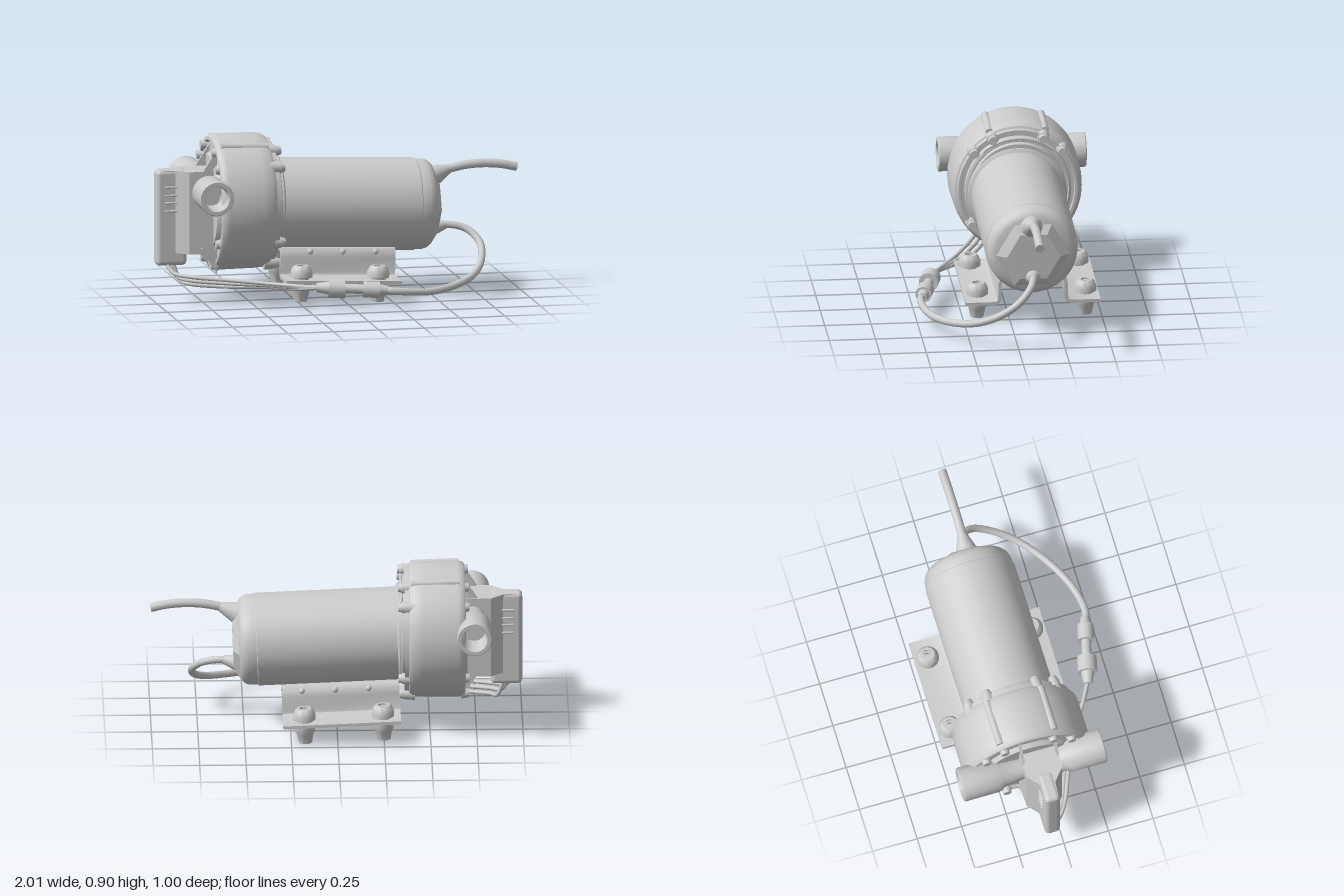
import * as THREE from 'three';
import { toCreasedNormals } from 'three/addons/utils/BufferGeometryUtils.js';
import { RoundedBoxGeometry } from 'three/addons/geometries/RoundedBoxGeometry.js';

const mat = new THREE.MeshStandardMaterial({ color: 0xcccccc, side: THREE.DoubleSide });
const V = (x, y, z) => new THREE.Vector3(x, y, z);

function add(parent, name, geo, x = 0, y = 0, z = 0) {
  const m = new THREE.Mesh(geo, mat);
  m.name = name;
  m.position.set(x, y, z);
  parent.add(m);
  return m;
}

// Turned part from [radius, height] pairs, axis on y
function turned(profile, segs = 64) {
  const g = new THREE.LatheGeometry(profile.map(p => new THREE.Vector2(p[0], p[1])), segs);
  return toCreasedNormals(g, 0.6);
}
const turnedX = (profile, segs) => turned(profile, segs).rotateZ(-Math.PI / 2);

// Straight round bar from a to b
function rod(parent, name, a, b, ra, rb = ra, segs = 24) {
  const m = add(parent, name, new THREE.CylinderGeometry(rb, ra, a.distanceTo(b), segs));
  m.position.copy(a).lerp(b, 0.5);
  m.quaternion.setFromUnitVectors(V(0, 1, 0), b.clone().sub(a).normalize());
  return m;
}

function cable(parent, name, pts, r) {
  const curve = new THREE.CatmullRomCurve3(pts.map(p => V(...p)));
  add(parent, name, new THREE.TubeGeometry(curve, 80, r, 12));
  const end = curve.getPoint(1), t = curve.getTangent(1);
  rod(parent, name + 'End', end.clone().addScaledVector(t, -0.005), end, r, r, 12);
}

// Strip of constant thickness along a 2D centre line, extruded along x
function strip(line, t, length) {
  const side = s => line.map((p, i) => {
    const a = line[Math.max(i - 1, 0)], b = line[Math.min(i + 1, line.length - 1)];
    const d = new THREE.Vector2().subVectors(b, a).normalize();
    return new THREE.Vector2(p.x - d.y * s * t / 2, p.y + d.x * s * t / 2);
  });
  const g = new THREE.ExtrudeGeometry(new THREE.Shape([...side(1), ...side(-1).reverse()]),
    { depth: length, bevelEnabled: false });
  return toCreasedNormals(g.rotateY(Math.PI / 2), 0.6);
}

function buildMotor() {
  const g = new THREE.Group();
  g.name = 'motorAndBase';
  g.position.set(0, 0.49, -0.1);
  g.rotation.z = -0.04;

  add(g, 'motorBody', turnedX([[0, -0.37], [0.268, -0.37], [0.268, -0.335], [0.25, -0.325], [0.25, 0.43],
    [0.245, 0.434], [0.245, 0.45], [0.243, 0.48], [0.236, 0.5], [0.222, 0.517], [0.2, 0.527], [0, 0.527]]));
  const hub = new THREE.CylinderGeometry(0.145, 0.205, 0.035, 6).toNonIndexed();
  hub.computeVertexNormals();
  add(g, 'endCapFace', hub.rotateZ(-Math.PI / 2), 0.542, -0.01, 0);

  // Saddle bracket: flange, wall, arc under the motor, mirrored
  const half = [[0.365, -0.37], [0.205, -0.37], [0.187, -0.362], [0.18, -0.345], [0.179, -0.265],
    [0.172, -0.237], [0.16, -0.222]];
  const line = half.map(p => new THREE.Vector2(p[0], p[1]));
  for (let i = 0; i <= 16; i++) {
    const a = 0.58 - 1.16 * i / 16;
    line.push(new THREE.Vector2(0.262 * Math.sin(a), -0.262 * Math.cos(a)));
  }
  half.slice().reverse().forEach(p => line.push(new THREE.Vector2(-p[0], p[1])));
  add(g, 'saddleBracket', strip(line, 0.018, 0.635), -0.325, 0, -0.022);

  // Rubber feet clamped through the flanges
  const foot = turned([[0, -0.482], [0.036, -0.482], [0.045, -0.435], [0.053, -0.42], [0.056, -0.385],
    [0.056, -0.38], [0.044, -0.378], [0.044, -0.355], [0.06, -0.35], [0.06, -0.325], [0.05, -0.3],
    [0.038, -0.289], [0.024, -0.289], [0.024, -0.3], [0.013, -0.3], [0.013, -0.32], [0, -0.32]], 32);
  for (const x of [-0.23, 0.193]) for (const z of [-0.315, 0.27]) add(g, 'foot', foot, x, 0, z);

  // Saddle screws
  for (const x of [-0.16, 0.02, 0.2]) for (const s of [-1, 1]) {
    add(g, 'saddleScrew', new THREE.SphereGeometry(0.018, 12, 8), x, -0.235, s * 0.172 - 0.022);
  }
  return g;
}

function buildHead() {
  const g = new THREE.Group();
  g.name = 'pumpHead';
  g.position.set(0, 0.528, -0.105);
  const shell = add(g, 'headShell', turnedX([[0, -0.7], [0.26, -0.7], [0.275, -0.675], [0.325, -0.675],
    [0.335, -0.69], [0.352, -0.688], [0.364, -0.675], [0.368, -0.65], [0.366, -0.46], [0.362, -0.41],
    [0.35, -0.39], [0.338, -0.385], [0.335, -0.362], [0.32, -0.362], [0.316, -0.38], [0.3, -0.38],
    [0.297, -0.35], [0.283, -0.345], [0.28, -0.365], [0.268, -0.365], [0.265, -0.335], [0, -0.335]], 80));
  shell.scale.z = 0.965;

  // Housing bolts, on both faces: [z, y] from the axis
  for (const [z, y] of [[0.137, 0.29], [0.238, 0.215], [0.25, -0.19], [0.125, -0.325]]) {
    for (const s of [-1, 1]) {
      const p = x => V(x, y, s * z);
      rod(g, 'boltBoss', p(-0.42), p(-0.35), 0.036, 0.03);
      rod(g, 'boltHead', p(-0.35), p(-0.328), 0.027, 0.022, 16);
      rod(g, 'boltHead', p(-0.71), p(-0.67), 0.022, 0.03, 16);
    }
  }
  // Shoulders at the top of the shell
  for (const s of [-1, 1]) rod(g, 'shoulder', V(-0.66, 0.325, s * 0.15), V(-0.4, 0.315, s * 0.15), 0.022);

  // Curved rib above the motor
  const rib = new THREE.TorusGeometry(0.293, 0.008, 8, 40, 1.4).rotateZ(Math.PI / 2 - 0.7).rotateY(Math.PI / 2);
  add(g, 'curvedRib', rib, -0.345, 0, 0);

  // Inlet and outlet ports
  const port = turned([[0.06, 0.05], [0.075, 0.17], [0.093, 0.2], [0.094, 0.395], [0.09, 0.4], [0.07, 0.4],
    [0.066, 0.39], [0.062, 0.25], [0, 0.25]], 40);
  for (const s of [-1, 1]) {
    add(g, s > 0 ? 'frontPort' : 'backPort', port.clone().rotateX(s * Math.PI / 2), -0.735, 0.087, 0);
  }
  return g;
}

function buildSwitchBox() {
  const g = new THREE.Group();
  g.name = 'pressureSwitch';
  add(g, 'switchCover', new RoundedBoxGeometry(0.17, 0.525, 0.085, 4, 0.025), -0.915, 0.463, -0.06);
  // Valve block widening toward the head
  const plan = [[-0.97, -0.095], [-0.9, -0.1], [-0.83, -0.16], [-0.68, -0.165], [-0.68, 0.045],
    [-0.83, 0.04], [-0.9, -0.02], [-0.97, -0.025]].map(p => new THREE.Vector2(p[0], -p[1]));
  const block = new THREE.ExtrudeGeometry(new THREE.Shape(plan), { depth: 0.45, bevelEnabled: false });
  add(g, 'valveBlock', block.rotateX(-Math.PI / 2), 0, 0.27, 0);
  // Raised bars on both sides of the cover
  for (const y of [0.5, 0.545, 0.585, 0.63]) {
    add(g, 'coverBar', new RoundedBoxGeometry(0.11, 0.012, 0.1, 2, 0.005), -0.9, y, -0.06);
  }
  // Gussets between block and head
  for (const [s, y] of [[1, 0.72], [-1, 0.28]]) {
    const tri = new THREE.Shape([new THREE.Vector2(-0.77, y - s * 0.02),
      new THREE.Vector2(-0.68, y - s * 0.02), new THREE.Vector2(-0.68, y + s * 0.12)]);
    for (const z of [-0.16, 0.03]) {
      add(g, 'gusset', new THREE.ExtrudeGeometry(tri, { depth: 0.015, bevelEnabled: false }), 0, 0, z);
    }
  }
  return g;
}

function buildWiring() {
  const g = new THREE.Group();
  g.name = 'wiring';
  // Supply cable
  rod(g, 'upperBoot', V(0.5, 0.61, -0.09), V(0.63, 0.66, -0.09), 0.075, 0.024);
  cable(g, 'supplyCable', [[0.54, 0.64, -0.09], [0.63, 0.66, -0.09], [0.72, 0.677, -0.09],
    [0.82, 0.682, -0.09], [0.92, 0.673, -0.09], [1, 0.655, -0.09]], 0.024);
  // Switch cable looping down to the plug
  rod(g, 'lowerBoot', V(0.52, 0.335, -0.1), V(0.61, 0.354, -0.09), 0.05, 0.022);
  cable(g, 'switchCable', [[0.54, 0.345, -0.1], [0.63, 0.353, -0.09], [0.72, 0.33, -0.065], [0.775, 0.27, 0],
    [0.765, 0.2, 0.1], [0.7, 0.14, 0.22], [0.58, 0.105, 0.335], [0.42, 0.09, 0.43], [0.28, 0.1, 0.472],
    [0.19, 0.11, 0.475], [0.1, 0.115, 0.435]], 0.02);

  // Two-part plug
  const a = V(0.17, 0.112, 0.465), b = V(-0.19, 0.125, 0.375);
  const at = t => a.clone().lerp(b, t);
  rod(g, 'plugTail', at(0), at(0.12), 0.024, 0.032);
  rod(g, 'plugHalf', at(0.12), at(0.36), 0.044);
  rod(g, 'plugNeck', at(0.36), at(0.62), 0.026);
  rod(g, 'plugHalf', at(0.62), at(0.86), 0.053);
  rod(g, 'plugTail', at(0.86), at(1.04), 0.036, 0.024);

  // Wires running under the head to the switch
  for (let i = 0; i < 3; i++) {
    const d = i * 0.022;
    cable(g, 'wire', [[-0.18, 0.125, 0.378], [-0.28, 0.125 - d * 0.3, 0.325], [-0.45, 0.13 - d * 0.6, 0.225 - d],
      [-0.65, 0.14 - d, 0.13 - d], [-0.83, 0.15 - d, 0.055 - d], [-0.91 + d, 0.165 - d, 0 - d],
      [-0.945 + d, 0.215, -0.045 - d * 0.6]], 0.011);
  }
  return g;
}

export function createModel() {
  const model = new THREE.Group();
  model.name = 'motorPump';
  model.add(buildMotor(), buildHead(), buildSwitchBox(), buildWiring());
  return model;
}
